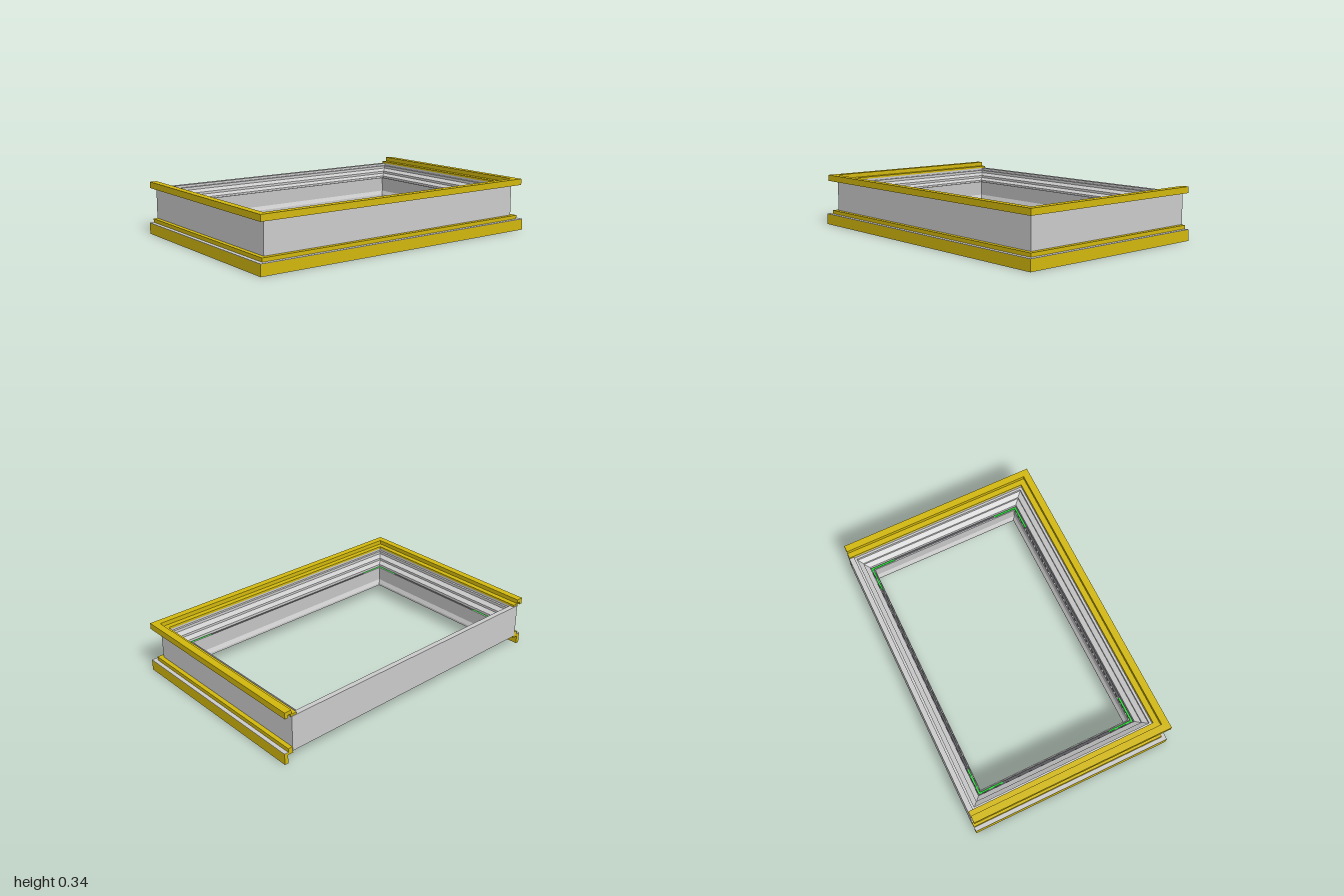
import * as THREE from 'three';

const mat = (color) => new THREE.MeshStandardMaterial({ color, flatShading: true });
const grey = mat(0xcccccc), yellow = mat(0xd2b80e), dark = mat(0x55555a), green = mat(0x22dd33);

// z of the front and back runs for a section point lying at side distance x
const frontZ = (x) => x - 0.333;
const backZ = (x) => -0.535 - (x - 0.805) * 0.93;
const TRIM_END = -0.662;

// Sweeps a section of [x, y] points (counter-clockwise, x outward) round the
// frame with mitred corners: a full ring, or a U left open at the back.
function sweep(name, section, material, closed) {
  const n = section.length, pos = [];
  const zb = closed ? backZ : () => TRIM_END;
  const rows = [
    section.map(([x, y]) => [x, y, zb(x)]),
    section.map(([x, y]) => [x, y, frontZ(x)]),
    section.map(([x, y]) => [-x, y, frontZ(x)]),
    section.map(([x, y]) => [-x, y, zb(x)]),
  ];
  const runs = closed ? 4 : 3;
  for (let i = 0; i < runs; i++) {
    const a = rows[i], b = rows[(i + 1) % 4];
    for (let j = 0; j < n; j++) {
      const k = (j + 1) % n;
      pos.push(...a[j], ...a[k], ...b[k], ...a[j], ...b[k], ...b[j]);
    }
  }
  // end caps of the open U
  if (!closed) {
    const tris = THREE.ShapeUtils.triangulateShape(section.map((p) => new THREE.Vector2(...p)), []);
    for (const [a, b, c] of tris) {
      pos.push(...rows[0][a], ...rows[0][c], ...rows[0][b]);
      pos.push(...rows[3][a], ...rows[3][b], ...rows[3][c]);
    }
  }
  const g = new THREE.BufferGeometry();
  g.setAttribute('position', new THREE.Float32BufferAttribute(pos, 3));
  // orient every triangle the same way: the outer wall must face outward
  g.computeVertexNormals();
  const mesh = new THREE.Mesh(g, material);
  mesh.name = name;
  return mesh;
}

const rect = (x0, x1, y0, y1) => [[x0, y0], [x1, y0], [x1, y1], [x0, y1]];

function box(name, x0, x1, y0, y1, z0, z1, material) {
  const m = new THREE.Mesh(new THREE.BoxGeometry(x1 - x0, y1 - y0, z1 - z0), material);
  m.position.set((x0 + x1) / 2, (y0 + y1) / 2, (z0 + z1) / 2);
  m.name = name;
  return m;
}

export function createModel() {
  const model = new THREE.Group();
  model.name = 'windowFrame';

  // main frame: outer wall, stepped and sloped inner reveal, seal groove, opening
  model.add(sweep('mainFrame', [
    [0.803, 0.07], [0.945, 0.07], [0.945, 0.295], [0.91, 0.295], [0.91, 0.28],
    [0.895, 0.28], [0.895, 0.262], [0.865, 0.245], [0.865, 0.23], [0.835, 0.215],
    [0.835, 0.19], [0.813, 0.19], [0.813, 0.208], [0.807, 0.208], [0.815, 0.11], [0.803, 0.085],
  ], grey, true));

  // dark seal lying in the groove
  model.add(sweep('seal', rect(0.816, 0.832, 0.188, 0.2), dark, true));

  // top trim with a hanging outer lip and a lower inner step
  model.add(sweep('topTrim', [
    [0.91, 0.293], [0.95, 0.293], [0.95, 0.312], [0.968, 0.312], [0.968, 0.295],
    [0.99, 0.295], [0.99, 0.335], [0.945, 0.335], [0.945, 0.308], [0.91, 0.308],
  ], yellow, false));

  // bottom trim: step against the wall and a hanging skirt
  model.add(sweep('bottomTrim', [
    [0.94, 0.055], [0.976, 0.055], [0.976, 0.002], [1, 0.002], [1, 0.069],
    [0.973, 0.069], [0.973, 0.095], [0.94, 0.095],
  ], yellow, false));

  // grey edge strips above and below the skirt
  model.add(sweep('skirtTopEdge', rect(0.974, 1, 0.069, 0.072), grey, false));
  model.add(sweep('skirtBottomEdge', rect(0.976, 1, 0, 0.002), grey, false));

  // green corner keys, one L in each corner
  for (const s of [-1, 1]) {
    for (const end of ['front', 'back']) {
      const key = new THREE.Group();
      key.name = `${end}CornerKey`;
      const z = end === 'front' ? frontZ(0.822) : backZ(0.822);
      const inward = end === 'front' ? -1 : 1;
      key.add(box('keyAcross', Math.min(s * 0.66, s * 0.828), Math.max(s * 0.66, s * 0.828),
        0.196, 0.205, z - 0.005, z + 0.005, green));
      const z2 = z + inward * 0.155;
      key.add(box('keyAlong', s * 0.822 - 0.005, s * 0.822 + 0.005,
        0.196, 0.205, Math.min(z, z2), Math.max(z, z2), green));
      model.add(key);
    }
  }
  return model;
}
